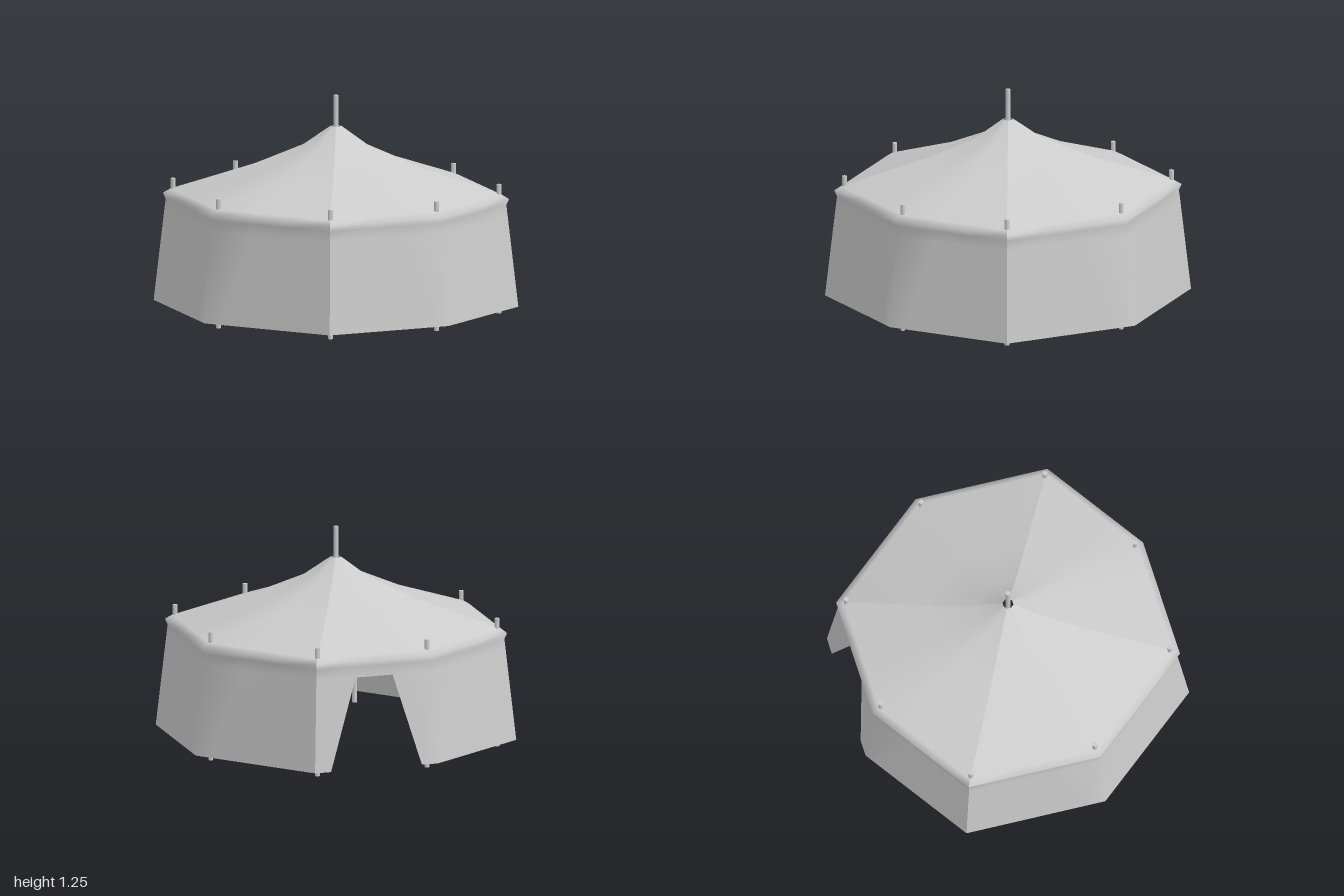
import * as THREE from 'three';

// Octagonal ground plan, starting at a diagonal corner, anticlockwise from above
const RING = [
  [-0.768, 0.715], [0, 0.997], [0.768, 0.715], [0.982, 0],
  [0.768, -0.715], [0, -0.997], [-0.768, -0.715], [-0.982, 0],
];
// Canvas profile: [height, scale of the ground plan]
const PROFILE = [
  [0.04, 1], [0.57, 0.941], [0.63, 0.934], [0.665, 0.949], [0.69, 0.908],
  [0.846, 0.445], [0.963, 0.178], [1.072, 0.03],
];
// Doorway edges across one bay, at the ground and at the lintel
const DOOR_FOOT = [0, 0.13, 0.87, 1];
const DOOR_HEAD = [0, 0.34, 0.66, 1];

// One quarter of the canvas: two bays sharing a soft fold in the middle
function canvasPanel(first, hasDoor) {
  const positions = [], index = [];
  const cols = 7;
  PROFILE.forEach(([y, s], row) => {
    const stops = row === 0 ? DOOR_FOOT : DOOR_HEAD;
    for (let c = 0; c < cols; c++) {
      const bay = c < 3 ? 0 : 1;
      const t = stops[c - bay * 3];
      const a = RING[(first + bay) % 8], b = RING[(first + bay + 1) % 8];
      positions.push(
        s * THREE.MathUtils.lerp(a[0], b[0], t), y,
        s * THREE.MathUtils.lerp(a[1], b[1], t));
    }
  });
  for (let row = 0; row < PROFILE.length - 1; row++) {
    for (let c = 0; c < cols - 1; c++) {
      if (hasDoor && row === 0 && c === 1) continue; // doorway
      const i = row * cols + c, up = i + cols;
      index.push(i, i + 1, up + 1, i, up + 1, up);
    }
  }
  const geometry = new THREE.BufferGeometry();
  geometry.setAttribute('position', new THREE.Float32BufferAttribute(positions, 3));
  geometry.setIndex(index);
  geometry.computeVertexNormals();
  return geometry;
}

export function createModel() {
  const model = new THREE.Group();
  model.name = 'tent';
  const canvasMaterial = new THREE.MeshStandardMaterial({ color: 0xcccccc, side: THREE.DoubleSide });
  const poleMaterial = new THREE.MeshStandardMaterial({ color: 0xcccccc });

  // Canvas walls and roof, creased along the four diagonals
  const canvas = new THREE.Group();
  canvas.name = 'canvas';
  ['frontPanel', 'leftPanel', 'backPanel', 'rightPanel'].forEach((name, i) => {
    const panel = new THREE.Mesh(canvasPanel(i * 2, name === 'rightPanel'), canvasMaterial);
    panel.name = name;
    canvas.add(panel);
  });
  model.add(canvas);

  // Upright poles passing through the roof
  function addPole(name, x, z, height) {
    const pole = new THREE.Mesh(new THREE.CylinderGeometry(0.014, 0.014, height, 10), poleMaterial);
    pole.name = name;
    pole.position.set(x, height / 2, z);
    model.add(pole);
  }
  addPole('centrePole', 0, 0, 1.25);
  RING.forEach(([x, z]) => addPole('eavePole', x * 0.893, z * 0.893, 0.75));

  return model;
}
